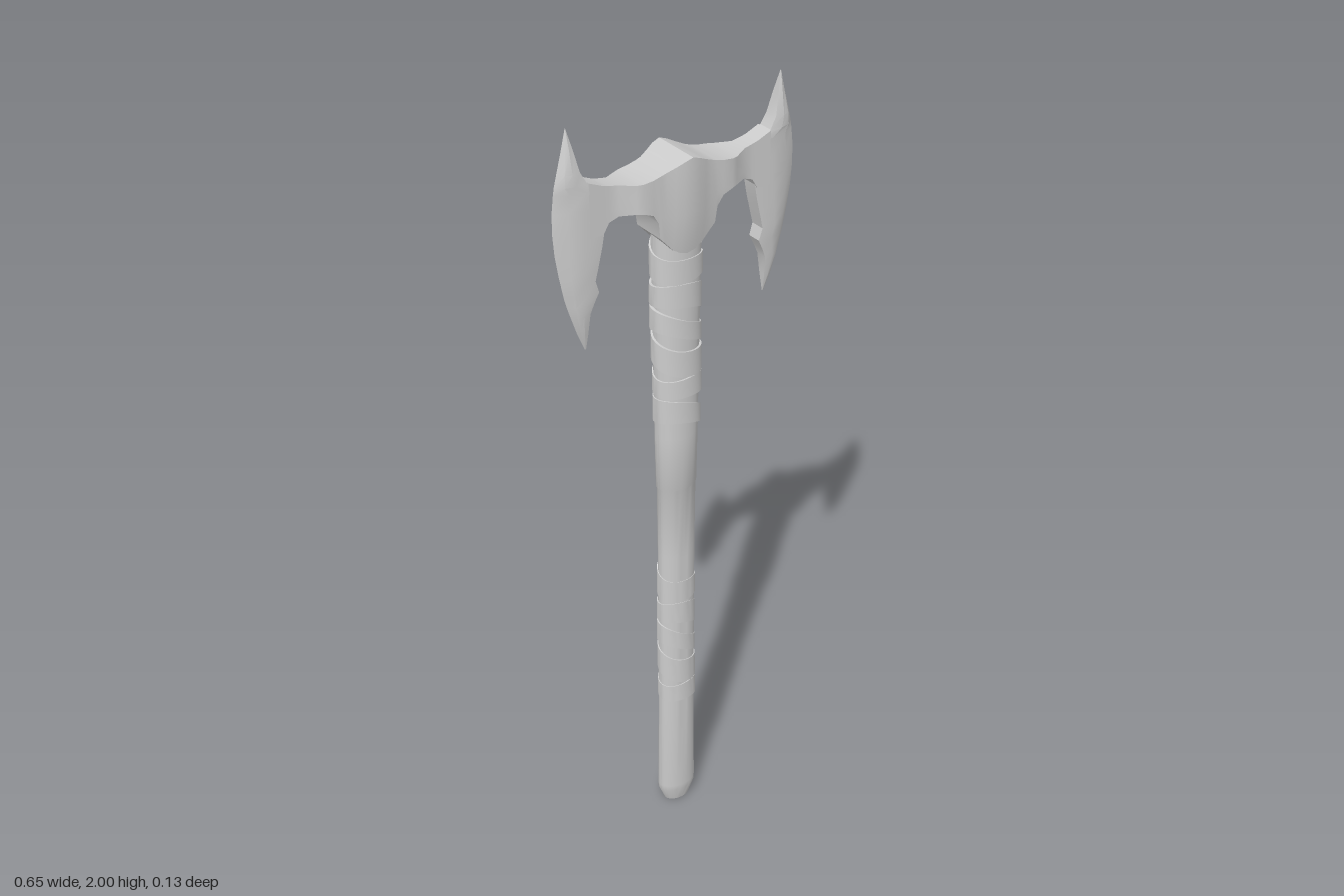
import * as THREE from 'three';
import { toCreasedNormals } from 'three/addons/utils/BufferGeometryUtils.js';

const material = new THREE.MeshStandardMaterial({ color: 0xcccccc });

// Skin a row of closed cross-sections, with a flat fan at both ends.
function loft(loops, crease) {
  const n = loops[0].length, index = [];
  const last = (loops.length - 1) * n;
  for (let k = 0; k < loops.length - 1; k++) {
    for (let i = 0; i < n; i++) {
      const a = k * n + i, b = k * n + (i + 1) % n;
      index.push(a, b, b + n, a, b + n, a + n);
    }
  }
  for (let i = 1; i < n - 1; i++) {
    index.push(0, i + 1, i, last, last + i, last + i + 1);
  }
  const g = new THREE.BufferGeometry();
  g.setAttribute('position', new THREE.Float32BufferAttribute(loops.flat(2), 3));
  g.setIndex(index);
  return toCreasedNormals(g, crease);
}

function part(name, geometry) {
  const mesh = new THREE.Mesh(geometry, material);
  mesh.name = name;
  return mesh;
}

// Shaft profile: height, half width, half depth
const SHAFT = [
  [0, 0.036, 0.024], [0.04, 0.052, 0.034], [0.055, 0.053, 0.035], [0.3, 0.05, 0.034],
  [0.8, 0.05, 0.035], [1.0, 0.052, 0.036], [1.005, 0.054, 0.038], [1.15, 0.057, 0.04],
  [1.4, 0.06, 0.041], [1.68, 0.064, 0.043], [1.78, 0.064, 0.043],
];

function shaftRadii(y) {
  let i = 0;
  while (i < SHAFT.length - 2 && SHAFT[i + 1][0] < y) i++;
  const [a, b] = [SHAFT[i], SHAFT[i + 1]];
  const t = THREE.MathUtils.clamp((y - a[0]) / (b[0] - a[0]), 0, 1);
  return [1, 2].map((k) => THREE.MathUtils.lerp(a[k], b[k], t));
}

function shaft() {
  const sides = 32;
  return loft(SHAFT.map(([y, rx, rz]) => Array.from({ length: sides }, (_, i) => {
    const a = (i / sides) * Math.PI * 2;
    return [Math.cos(a) * rx, y, -Math.sin(a) * rz];
  })), 0.5);
}

// Leather strip winding down the shaft, slightly uneven from turn to turn
function wrap(yTop, yBottom, turns, thick) {
  const steps = turns * 32, pitch = (yTop - yBottom) / turns, loops = [];
  for (let k = 0; k <= steps; k++) {
    const t = k / steps, a = t * turns * Math.PI * 2;
    const y = THREE.MathUtils.lerp(yTop, yBottom, t) + 0.012 * Math.sin(a * 1.27);
    const h = pitch * (0.36 + 0.07 * Math.sin(a * 0.61));
    const d = thick * (0.8 + 0.3 * Math.sin(a * 0.83 + 1));
    const point = (dy, off) => {
      const [rx, rz] = shaftRadii(y + dy);
      return [Math.cos(a) * (rx + off), y + dy, -Math.sin(a) * (rz + off * 0.7)];
    };
    loops.push([point(h, -0.004), point(h, d * 0.8), point(-h, d), point(-h, -0.004)]);
  }
  return loft(loops, 0.6);
}

// Head body columns: x, top, bottom, half depth, half depth at the bottom
const BODY = [
  [0, 1.885, 1.645, 0.066, 0.046], [0.02, 1.878, 1.65, 0.064, 0.046],
  [0.04, 1.868, 1.662, 0.058, 0.045], [0.06, 1.859, 1.684, 0.052, 0.045],
  [0.075, 1.854, 1.70, 0.051, 0.046], [0.08, 1.853, 1.74, 0.051, 0.048],
  [0.095, 1.849, 1.764, 0.051, 0.05], [0.12, 1.846, 1.774, 0.05, 0.05],
  [0.135, 1.845, 1.776, 0.045, 0.045], [0.17, 1.848, 1.774, 0.025, 0.025],
  [0.195, 1.853, 1.765, 0.0235, 0.0235], [0.21, 1.857, 1.74, 0.0235, 0.0235],
  [0.245, 1.872, 1.74, 0.0235, 0.0235],
];

function headBody() {
  const mirrored = BODY.slice(1).reverse().map(([x, ...rest]) => [-x, ...rest]);
  return loft([...mirrored, ...BODY].map(([x, top, low, t, tLow]) => {
    const mid = Math.max(1.75, (top + low) / 2 - 0.02);
    return [[x, top, -t], [x, top, t], [x, mid, t], [x, low, tLow], [x, low, -tLow], [x, mid, -t]];
  }), 0.55);
}

// Blade rows: height, inner edge, cutting edge, half thickness
const BLADE = [
  [1.455, 0.249, 0.252, 0.001], [1.5, 0.247, 0.271, 0.011], [1.55, 0.244, 0.288, 0.018],
  [1.575, 0.234, 0.296, 0.02], [1.6, 0.222, 0.303, 0.022], [1.63, 0.231, 0.309, 0.023],
  [1.66, 0.224, 0.315, 0.024], [1.71, 0.212, 0.323, 0.024], [1.76, 0.203, 0.327, 0.024],
  [1.81, 0.2, 0.327, 0.024], [1.853, 0.2, 0.322, 0.024], [1.872, 0.247, 0.319, 0.023],
  [1.9, 0.263, 0.312, 0.021], [1.95, 0.274, 0.299, 0.012], [2.0, 0.286, 0.287, 0.001],
];

function blade() {
  return loft(BLADE.map(([y, xi, xo, w]) => {
    const flat = xi + (xo - xi) * 0.42, bevel = xi + (xo - xi) * 0.75;
    return [
      [xo, y, 0], [bevel, y, -w * 0.72], [flat, y, -w], [xi, y, -w * 0.85],
      [xi, y, w * 0.85], [flat, y, w], [bevel, y, w * 0.72],
    ];
  }), 0.5);
}

export function createModel() {
  const model = new THREE.Group();
  model.name = 'doubleAxe';
  model.add(part('shaft', shaft()));
  model.add(part('upperWrap', wrap(1.66, 1.19, 6, 0.008)));
  model.add(part('lowerWrap', wrap(0.76, 0.35, 5, 0.004)));
  model.add(part('headBody', headBody()));

  const left = part('leftBlade', blade());
  const right = part('rightBlade', left.geometry);
  right.rotation.y = Math.PI;
  model.add(left, right);
  return model;
}
